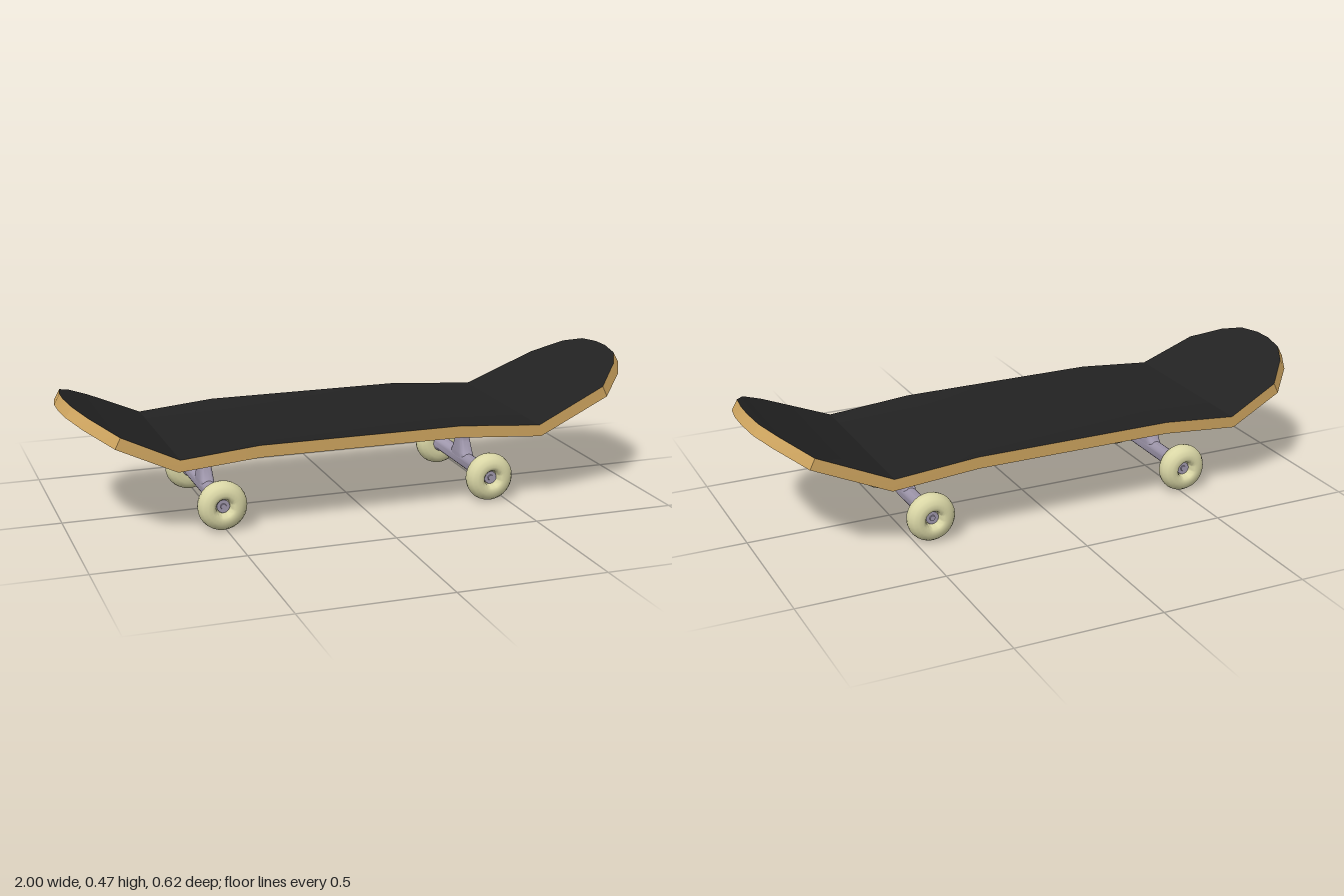
import * as THREE from 'three';
import { toCreasedNormals } from 'three/addons/utils/BufferGeometryUtils.js';

const material = (name, color, side = THREE.FrontSide) => {
  const m = new THREE.MeshStandardMaterial({ color, side });
  m.name = name;
  return m;
};

// Surface through rows of points; it faces along (column direction x row direction)
function gridSurface(rows, crease) {
  const n = rows[0].length;
  const index = [];
  for (let i = 0; i < rows.length - 1; i++) {
    for (let j = 0; j < n - 1; j++) {
      const a = i * n + j, b = a + n;
      index.push(a, a + 1, b, b, a + 1, b + 1);
    }
  }
  const g = new THREE.BufferGeometry();
  g.setAttribute('position', new THREE.Float32BufferAttribute(rows.flat(2), 3));
  g.setIndex(index);
  return toCreasedNormals(g, crease);
}

// Deck stations: x, underside y, half width, height of the raised edges
const STATIONS = [
  [-1.0, 0.398, 0.035, 0], [-0.988, 0.392, 0.12, 0], [-0.95, 0.37, 0.195, 0],
  [-0.865, 0.322, 0.285, 0], [-0.67, 0.234, 0.31, 0], [-0.4, 0.235, 0.31, 0.022],
  [0.3, 0.235, 0.31, 0.022], [0.6, 0.234, 0.31, 0], [0.86, 0.346, 0.285, 0],
  [0.95, 0.402, 0.195, 0], [0.988, 0.423, 0.12, 0], [1.0, 0.43, 0.035, 0],
];
const THICKNESS = 0.041;
const ACROSS = [-1, -0.75, -0.5, -0.25, 0, 0.25, 0.5, 0.75, 1];

function createDeck(wood, grip) {
  const deck = new THREE.Group();
  deck.name = 'deck';
  const under = [], upper = [];
  STATIONS.forEach(([x, y, half, lift], i) => {
    const p = STATIONS[Math.max(i - 1, 0)];
    const q = STATIONS[Math.min(i + 1, STATIONS.length - 1)];
    const slope = (q[1] - p[1]) / (q[0] - p[0]);
    const len = Math.hypot(1, slope);
    const dx = (-slope / len) * THICKNESS, dy = THICKNESS / len;
    under.push(ACROSS.map((f) => [x, y + lift * f * f, half * f]));
    upper.push(ACROSS.map((f) => [x + dx, y + dy + lift * f * f, half * f]));
  });

  // Rim runs along the front edge, round the nose and back
  const last = ACROSS.length - 1;
  const front = under.map((u, i) => [upper[i][last], u[last]]);
  const back = under.map((u, i) => [upper[i][0], u[0]]).reverse();
  const rim = [...front, ...back, front[0]];

  const parts = [
    ['gripSurface', upper, grip],
    ['deckUnderside', under.map((r) => [...r].reverse()), wood],
    ['deckRim', rim, wood],
  ];
  for (const [name, rows, mat] of parts) {
    const mesh = new THREE.Mesh(gridSurface(rows, 0.36), mat);
    mesh.name = name;
    deck.add(mesh);
  }
  return deck;
}

// Bevelled mounting plate
function plateGeometry() {
  const s = 0.095, r = 0.012;
  const shape = new THREE.Shape();
  shape.moveTo(-s + r, -s);
  shape.lineTo(s - r, -s);
  shape.quadraticCurveTo(s, -s, s, -s + r);
  shape.lineTo(s, s - r);
  shape.quadraticCurveTo(s, s, s - r, s);
  shape.lineTo(-s + r, s);
  shape.quadraticCurveTo(-s, s, -s, s - r);
  shape.lineTo(-s, -s + r);
  shape.quadraticCurveTo(-s, -s, -s + r, -s);
  const g = new THREE.ExtrudeGeometry(shape, {
    depth: 0.016, bevelThickness: 0.004, bevelSize: 0.005, bevelSegments: 2, curveSegments: 4,
  });
  return g.rotateX(-Math.PI / 2).translate(0, 0.217, 0);
}

// Waisted neck between axle and plate: y, half x, half z
function neckGeometry() {
  const levels = [
    [0.085, 0.025, 0.062], [0.107, 0.025, 0.06], [0.113, 0.025, 0.053], [0.155, 0.02, 0.035],
    [0.165, 0.019, 0.032], [0.175, 0.022, 0.034], [0.205, 0.046, 0.051], [0.214, 0.055, 0.06],
  ];
  const sides = 24;
  const squarish = (v) => Math.sign(v) * Math.pow(Math.abs(v), 0.55);
  const rows = levels.map(([y, hx, hz]) => Array.from({ length: sides + 1 }, (_, k) => {
    const a = ((k % sides) / sides) * Math.PI * 2;
    return [hx * squarish(Math.cos(a)), y, -hz * squarish(Math.sin(a))];
  }));
  return gridSurface(rows, 0.8);
}

// Lathe around z from [radius, z] points
function turned(points, segments) {
  const g = new THREE.LatheGeometry(points.map(([r, z]) => new THREE.Vector2(r, z)), segments);
  return toCreasedNormals(g.rotateX(Math.PI / 2), 0.8);
}

export function createModel() {
  const wood = material('wood', 0xd0a660);
  const grip = material('blackGrip', 0x222222);
  const metal = material('greyMetal', 0xa199ae);
  const rubber = material('creamRubber', 0xdad7a6);

  const board = new THREE.Group();
  board.name = 'skateboard';
  board.add(createDeck(wood, grip));

  const plate = plateGeometry();
  const neck = neckGeometry();
  const axle = turned([
    [0, -0.2], [0.032, -0.2], [0.032, -0.196], [0.027, -0.19],
    [0.027, 0.19], [0.032, 0.196], [0.032, 0.2], [0, 0.2],
  ], 20);
  // Rounded tyre with a recessed hub
  const wheel = turned([
    [0, -0.039], [0.04, -0.039], [0.057, -0.037], [0.072, -0.028], [0.081, -0.014],
    [0.0835, 0], [0.081, 0.014], [0.072, 0.028], [0.057, 0.037], [0.042, 0.039],
    [0.033, 0.036], [0.028, 0.028], [0.024, 0.008], [0, 0.008],
  ], 28);
  const hub = turned([[0.022, 0.006], [0.022, 0.014], [0.01, 0.014], [0.009, 0.018], [0, 0.018]], 20);

  for (const [side, x] of [['left', 0.442], ['right', -0.51]]) {
    const truck = new THREE.Group();
    truck.name = side + 'Truck';
    truck.position.x = x;
    const add = (name, geometry, mat, y = 0, z = 0) => {
      const mesh = new THREE.Mesh(geometry, mat);
      mesh.name = name;
      mesh.position.set(0, y, z);
      if (z < 0) mesh.rotation.y = Math.PI;
      truck.add(mesh);
    };
    add('mountingPlate', plate, metal);
    add('truckNeck', neck, metal);
    add('axle', axle, metal, 0.085);
    for (const z of [0.234, -0.234]) {
      add('wheel', wheel, rubber, 0.0835, z);
      add('wheelHub', hub, metal, 0.0835, z);
    }
    board.add(truck);
  }
  return board;
}
